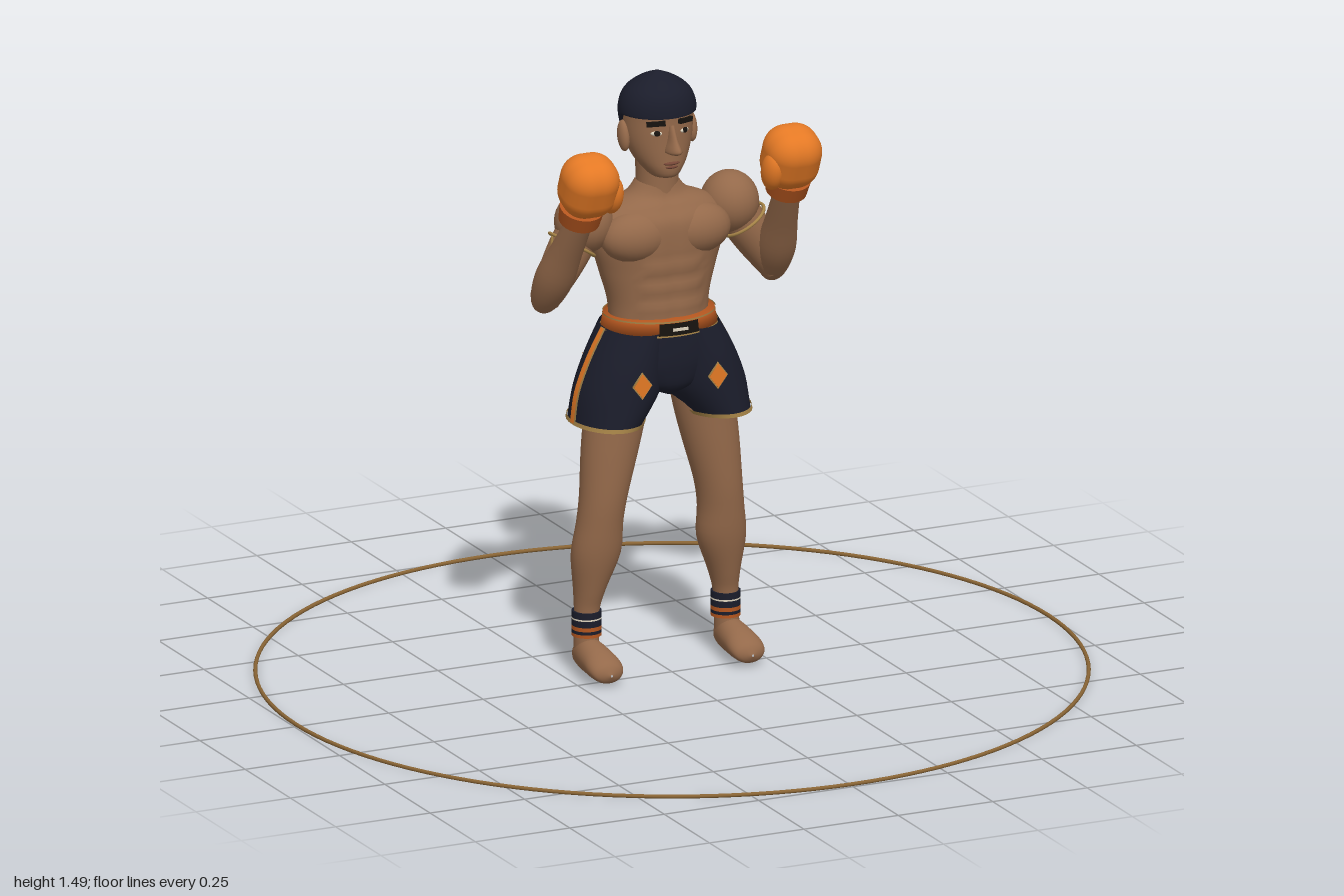
import * as THREE from 'three';
import { RoundedBoxGeometry } from 'three/addons/geometries/RoundedBoxGeometry.js';

const mat = (name, color, side = THREE.FrontSide) => {
  const m = new THREE.MeshStandardMaterial({ color, side });
  m.name = name;
  return m;
};

// Catmull-Rom blend of whole cross-section rows
function smoothRows(rows, steps) {
  const out = [];
  for (let i = 0; i < rows.length - 1; i++) {
    const p = [rows[Math.max(i - 1, 0)], rows[i], rows[i + 1], rows[Math.min(i + 2, rows.length - 1)]];
    for (let k = 0; k < steps; k++) {
      const t = k / steps;
      out.push(p[1].map((b, c) => {
        const a = p[0][c], d = p[2][c], e = p[3][c];
        return b + 0.5 * t * (d - a + t * (2 * a - 5 * b + 4 * d - e + t * (3 * (b - d) + e - a)));
      }));
    }
  }
  out.push(rows[rows.length - 1]);
  return out;
}

// Skin over elliptical sections [y, cx, cz, rx, rz], listed bottom up.
// mid/half limit it to an arc (0 = front), grow lifts it off the surface.
function loft(rows, { steps = 4, n = 32, s = 1, mid = 0, half = Math.PI, grow = 0, rule } = {}) {
  const full = half === Math.PI, cols = full ? n : n + 1;
  const pos = [], index = [];
  const list = steps > 1 ? smoothRows(rows, steps) : rows;
  list.forEach(([y, cx, cz, rx, rz], i) => {
    for (let j = 0; j < cols; j++) {
      const a = mid - half + (2 * half * j) / n;
      const v = new THREE.Vector3(cx * s + (Math.abs(rx) + grow) * Math.sin(a), y, cz + (Math.abs(rz) + grow) * Math.cos(a));
      if (rule) rule(v);
      pos.push(v.x, v.y, v.z);
      if (i < list.length - 1 && (full || j < n)) {
        const p = i * cols + j, q = i * cols + ((j + 1) % cols);
        index.push(p, q, q + cols, p, q + cols, p + cols);
      }
    }
  });
  const g = new THREE.BufferGeometry();
  g.setAttribute('position', new THREE.Float32BufferAttribute(pos, 3));
  g.setIndex(index);
  g.computeVertexNormals();
  return g;
}

export function createModel() {
  const root = new THREE.Group();
  root.name = 'boxer';
  const skin = mat('skin', 0x94694a);
  const navy = mat('navy cloth and hair', 0x1b1d2b, THREE.DoubleSide);
  const orange = mat('glove orange', 0xe47925);
  const rust = mat('rust orange', 0xb4561f);
  const gold = mat('gold trim', 0xa88548, THREE.DoubleSide);
  const cream = mat('cream', 0xe0d6c0);
  const dark = mat('brow black', 0x17130f);
  const lip = mat('lip', 0x754636);
  const bronze = mat('ring bronze', 0x8a6535);

  const add = (name, geo, m, x = 0, y = 0, z = 0, parent = root) => {
    const mesh = new THREE.Mesh(geo, m);
    mesh.name = name;
    mesh.position.set(x, y, z);
    parent.add(mesh);
    return mesh;
  };
  const ball = (name, m, x, y, z, rx, ry, rz, parent) =>
    add(name, new THREE.SphereGeometry(1, 24, 16).scale(rx, ry, rz), m, x, y, z, parent);
  const UP = new THREE.Vector3(0, 1, 0);
  const aim = (mesh, dir) => mesh.quaternion.setFromUnitVectors(UP, dir);

  // Floor ring
  add('floorRing', new THREE.TorusGeometry(0.995, 0.005, 8, 128).rotateX(Math.PI / 2), bronze, 0, 0.005, 0);

  // Torso with abdominal ridges and a centre groove
  add('torso', loft([
    [0.84, 0, -0.075, 0.125, 0.09], [0.92, 0, -0.078, 0.128, 0.09], [1.0, 0, -0.082, 0.15, 0.094],
    [1.07, 0, -0.082, 0.17, 0.098], [1.125, 0, -0.083, 0.168, 0.096], [1.16, 0, -0.085, 0.135, 0.078],
    [1.185, 0, -0.085, 0.078, 0.06], [1.215, 0, -0.085, 0.051, 0.052]], {
    steps: 7, n: 56,
    rule: v => {
      const front = THREE.MathUtils.smoothstep(v.z, -0.06, 0);
      const back = THREE.MathUtils.smoothstep(-v.z, 0.13, 0.17);
      const groove = Math.exp(-((v.x / 0.014) ** 2));
      const abs = v.y < 1.04 && Math.abs(v.x) < 0.08 ? 0.004 * Math.abs(Math.sin((v.y - 0.89) * Math.PI / 0.05)) : 0;
      v.z += front * (abs - 0.005 * groove) + back * 0.006 * groove;
    },
  }), skin);
  add('neck', loft([[1.16, 0, -0.085, 0.056, 0.056], [1.22, 0, -0.083, 0.051, 0.053], [1.3, 0, -0.085, 0.054, 0.056]]), skin);

  // Head, hair and face
  add('head', loft([
    [1.232, 0, -0.045, 0.002, 0.002], [1.236, 0, -0.045, 0.03, 0.036], [1.255, 0, -0.055, 0.049, 0.056],
    [1.285, 0, -0.07, 0.069, 0.071], [1.325, 0, -0.08, 0.083, 0.08], [1.37, 0, -0.084, 0.087, 0.084],
    [1.41, 0, -0.084, 0.084, 0.082], [1.45, 0, -0.084, 0.055, 0.055]]), skin);
  add('hair', loft([
    [1.31, 0, -0.083, 0.07, 0.074], [1.35, 0, -0.083, 0.088, 0.087], [1.4, 0, -0.083, 0.095, 0.09],
    [1.44, 0, -0.083, 0.08, 0.078], [1.467, 0, -0.083, 0.045, 0.046], [1.485, 0, -0.083, 0.002, 0.002]], {
    steps: 6,
    rule: v => { v.y = Math.max(v.y, 1.388 - 0.073 * THREE.MathUtils.smoothstep(-v.z, 0.08, 0.125)); },
  }), navy);
  add('nose', loft([
    [1.298, 0, 0, 0.003, 0.008], [1.303, 0, 0, 0.017, 0.034], [1.313, 0, 0, 0.017, 0.044],
    [1.335, 0, -0.002, 0.011, 0.028], [1.37, 0, -0.004, 0.007, 0.009]], { n: 16 }), skin);
  ball('upperLip', lip, 0, 1.274, -0.003, 0.021, 0.005, 0.009);
  ball('lowerLip', lip, 0, 1.265, -0.004, 0.017, 0.005, 0.009);

  // Waistband with fine piping, buckle
  add('waistband', loft([[0.855, 0, -0.073, 0.1, 0.07], [0.855, 0, -0.073, 0.145, 0.115],
    [0.891, 0, -0.073, 0.138, 0.113], [0.891, 0, -0.073, 0.1, 0.07]], { steps: 1, n: 48 }), rust);
  const strip = (y0, y1, rx, rz) => loft([[y0, 0, -0.073, rx, rz], [y1, 0, -0.073, rx, rz]], { steps: 1, n: 48 });
  add('waistbandPiping', strip(0.853, 0.858, 0.147, 0.117), gold);
  add('waistbandPiping', strip(0.888, 0.892, 0.14, 0.115), gold);
  add('buckle', loft([[0.858, 0, -0.073, 0.145, 0.115], [0.888, 0, -0.073, 0.139, 0.113]],
    { steps: 1, n: 12, half: 0.36, grow: 0.005 }), dark);
  add('buckleBar', new THREE.BoxGeometry(0.04, 0.007, 0.003), cream, 0, 0.872, 0.0475);

  // Shorts seat between the two legs
  add('shortsSeat', loft([
    [0.695, 0, -0.073, 0.02, 0.07], [0.72, 0, -0.073, 0.1, 0.098], [0.76, 0, -0.073, 0.15, 0.109],
    [0.8, 0, -0.073, 0.163, 0.113], [0.86, 0, -0.073, 0.143, 0.112]]), navy);

  const shorts = [[0.635, 0.143, -0.072, 0.082, 0.117], [0.71, 0.112, -0.072, 0.102, 0.117],
    [0.79, 0.09, -0.072, 0.093, 0.115], [0.862, 0.066, -0.073, 0.078, 0.109]];
  const shoulder = [0.2, 1.12, -0.085], elbow = [0.3, 0.962, -0.07], wrist = [0.275, 1.18, 0.06];

  for (const s of [1, -1]) {
    const side = s > 0 ? 'left' : 'right';
    const limb = new THREE.Group();
    limb.name = side + 'Side';
    root.add(limb);
    const put = (name, geo, m, x = 0, y = 0, z = 0) => add(name, geo, m, x * s, y, z, limb);
    const orb = (name, m, x, y, z, rx, ry, rz) => ball(name, m, x * s, y, z, rx, ry, rz, limb);
    const vec = p => new THREE.Vector3(p[0] * s, p[1], p[2]);

    // Face features
    orb('ear', skin, 0.089, 1.333, -0.082, 0.014, 0.038, 0.021).rotation.x = -0.2;
    const brow = put('eyebrow', new THREE.BoxGeometry(0.046, 0.012, 0.008), dark, 0.039, 1.376, -0.007);
    brow.rotation.set(0, 0.45 * s, -0.08 * s);
    orb('eyeWhite', cream, 0.037, 1.351, -0.009, 0.014, 0.006, 0.006).rotation.y = 0.45 * s;
    orb('iris', dark, 0.037, 1.352, -0.005, 0.008, 0.007, 0.004).rotation.y = 0.45 * s;

    // Chest and shoulder muscles
    orb('pectoral', skin, 0.08, 1.093, -0.036, 0.089, 0.064, 0.058);
    orb('deltoid', skin, 0.193, 1.13, -0.085, 0.071, 0.076, 0.073);

    // Arm raised in guard
    const upperDir = vec(elbow).sub(vec(shoulder)).normalize();
    const foreDir = vec(wrist).sub(vec(elbow)).normalize();
    const round = rows => rows.map(([y, r]) => [y, 0, 0, r, r]);
    aim(put('upperArm', loft(round([[0, 0.052], [0.06, 0.053], [0.12, 0.048], [0.2, 0.036]])), skin, ...shoulder), upperDir);
    aim(put('forearm', loft(round([[-0.044, 0.002], [-0.036, 0.022], [0, 0.038], [0.07, 0.047], [0.16, 0.039], [0.26, 0.032]])),
      skin, ...elbow), foreDir);
    aim(put('armBand', new THREE.TorusGeometry(0.06, 0.004, 8, 32).rotateX(Math.PI / 2), gold, 0.226, 1.079, -0.082), upperDir);
    put('armBandTassel', new THREE.CylinderGeometry(0.003, 0.006, 0.045, 8), gold, 0.279, 1.085, -0.08);

    // Glove
    put('gloveCuff', new THREE.CylinderGeometry(0.054, 0.05, 0.04, 28), rust, 0.274, 1.205, 0.066).rotation.x = 0.4;
    put('glove', new RoundedBoxGeometry(0.138, 0.154, 0.134, 7, 0.058), orange, 0.268, 1.284, 0.098).rotation.x = 0.4;
    orb('gloveThumb', orange, 0.213, 1.258, 0.112, 0.027, 0.05, 0.034).rotation.x = 0.3;

    // Shorts leg with hem, side stripe and diamond patches
    put('shortsLeg', loft(shorts, { s }), navy);
    put('hemTrim', loft([[0.631, 0.144, -0.072, 0.083, 0.118], [0.641, 0.14, -0.072, 0.085, 0.118]], { s, steps: 1, grow: 0.003 }), gold);
    put('stripeEdge', loft(shorts, { s, n: 6, mid: s * Math.PI / 2, half: 0.105, grow: 0.003 }), gold);
    put('sideStripe', loft(shorts, { s, n: 6, mid: s * Math.PI / 2, half: 0.08, grow: 0.006 }), orange);
    const diamond = (w, h) => new THREE.CylinderGeometry(1, 1, 0.004, 4).rotateX(Math.PI / 2).scale(w, h, 1);
    put('patchEdge', diamond(0.026, 0.034), gold, 0.1, 0.742, 0.0445);
    put('patch', diamond(0.023, 0.03), orange, 0.1, 0.742, 0.0465);
    put('backPatch', loft([[0.778, 0.09, -0.072, 0.095, 0.115], [0.792, 0.09, -0.072, 0.093, 0.115]],
      { s, steps: 1, n: 6, mid: s * 2.2, half: 0.16, grow: 0.004 }), orange);

    // Leg and bare foot
    put('leg', loft([
      [0.06, 0.186, -0.085, 0.03, 0.035], [0.15, 0.184, -0.088, 0.03, 0.032], [0.21, 0.178, -0.085, 0.039, 0.042],
      [0.3, 0.166, -0.075, 0.061, 0.054], [0.38, 0.16, -0.066, 0.057, 0.055], [0.45, 0.151, -0.063, 0.059, 0.058],
      [0.55, 0.134, -0.067, 0.07, 0.064], [0.64, 0.118, -0.07, 0.077, 0.067], [0.75, 0.1, -0.07, 0.08, 0.07]], { s }), skin);
    put('foot', loft([
      [-0.12, 0, -0.045, 0.003, 0.003], [-0.112, 0, -0.045, 0.024, 0.028], [-0.07, 0, -0.05, 0.035, 0.041],
      [-0.02, 0, -0.046, 0.041, 0.038], [0.02, 0, -0.04, 0.044, 0.031], [0.046, 0, -0.033, 0.034, 0.023],
      [0.058, 0, -0.031, 0.003, 0.003]]).rotateX(Math.PI / 2), skin, 0.187);

    // Striped ankle wraps
    [[0.148, 0.016, navy], [0.138, 0.004, cream], [0.128, 0.016, navy], [0.115, 0.01, rust], [0.106, 0.008, navy], [0.098, 0.008, rust]]
      .forEach(([y, h, m]) => put('ankleWrap', new THREE.CylinderGeometry(0.036, 0.036, h, 28), m, 0.184, y, -0.088));
  }
  return root;
}
